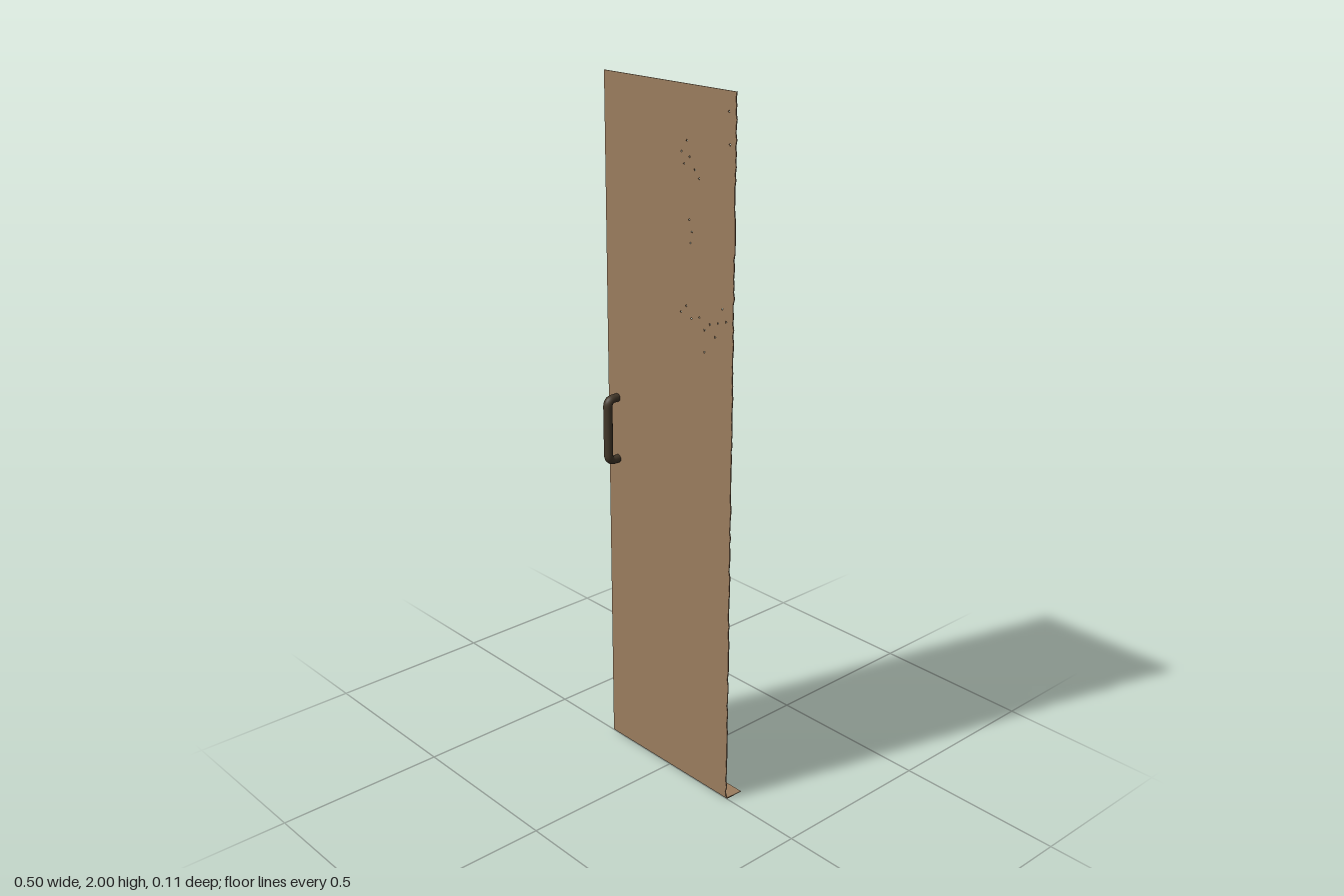
import * as THREE from 'three';

export function createModel() {
  const group = new THREE.Group();
  const wood = new THREE.MeshStandardMaterial({ color: 0x9c7e5f });
  wood.name = 'tan panel';
  wood.side = THREE.DoubleSide;
  const metal = new THREE.MeshStandardMaterial({ color: 0x43382a });
  metal.name = 'dark bronze';

  const add = (name, geometry, material) => {
    const mesh = new THREE.Mesh(geometry, material);
    mesh.name = name;
    group.add(mesh);
    return mesh;
  };

  let seed = 7;
  const random = () => (seed = (seed * 16807) % 2147483647) / 2147483647;

  // Thin door sheet with a worn right edge
  const outline = new THREE.Shape();
  outline.moveTo(-0.25, 0.01);
  outline.lineTo(0.246, 0.01);
  const steps = 120;
  for (let i = 1; i < steps; i++) {
    outline.lineTo(0.243 + random() * 0.005, 0.01 + (1.99 * i) / steps);
  }
  outline.lineTo(0.246, 2);
  outline.lineTo(-0.25, 2);
  outline.closePath();

  // Tiny worn pits through the upper right of the sheet
  const pits = [
    [0.05, 1.83], [0.07, 1.86], [0.08, 1.82], [0.1, 1.79], [0.115, 1.77], [0.06, 1.8],
    [0.08, 1.66], [0.09, 1.63], [0.085, 1.6], [0.05, 1.41], [0.07, 1.43], [0.09, 1.4],
    [0.12, 1.41], [0.14, 1.38], [0.16, 1.4], [0.18, 1.37], [0.19, 1.41], [0.205, 1.45],
    [0.22, 1.42], [0.14, 1.32], [0.22, 1.95], [0.225, 1.87]
  ];
  for (const [x, y] of pits) {
    const a = random() * 6;
    const pit = new THREE.Path();
    pit.setFromPoints([0, 1, 2].map(k => new THREE.Vector2(
      x + 0.004 * Math.cos(a + k * 2.09), y + 0.004 * Math.sin(a + k * 2.09))));
    outline.holes.push(pit);
  }
  const sheet = new THREE.ExtrudeGeometry(outline, { depth: 0.003, bevelEnabled: false });
  sheet.translate(0, 0, 0.003);
  add('doorPanel', sheet, wood);

  // Folded lip running back along the bottom; profile is (depth behind front, height)
  const profile = new THREE.Shape([
    [-0.006, 0.012], [-0.005, 0.006], [0.001, 0.001], [0.055, 0],
    [0.055, 0.002], [0.002, 0.004], [-0.003, 0.012]
  ].map(p => new THREE.Vector2(...p)));
  const lip = new THREE.ExtrudeGeometry(profile, { depth: 0.495, bevelEnabled: false });
  lip.rotateY(Math.PI / 2);
  lip.translate(-0.25, 0, 0);
  add('bottomLip', lip, wood);

  // Pull handle: one bent bar, fuller at the grip than at the feet
  const v = (y, z) => new THREE.Vector3(0, y, z);
  const top = 0.092, r = 0.02, out = 0.042;
  const path = new THREE.CurvePath();
  path.add(new THREE.LineCurve3(v(top, 0.004), v(top, out - r)));
  path.add(new THREE.QuadraticBezierCurve3(v(top, out - r), v(top, out), v(top - r, out)));
  path.add(new THREE.LineCurve3(v(top - r, out), v(r - top, out)));
  path.add(new THREE.QuadraticBezierCurve3(v(r - top, out), v(-top, out), v(-top, out - r)));
  path.add(new THREE.LineCurve3(v(-top, out - r), v(-top, 0.004)));
  const bar = new THREE.TubeGeometry(path, 64, 0.012, 16);
  const pos = bar.attributes.position;
  for (let i = 0; i < pos.count; i++) {
    const t = Math.min(1, Math.max(0, pos.getZ(i) / 0.035));
    pos.setX(i, pos.getX(i) * (0.9 + 0.3 * t));
  }
  bar.computeVertexNormals();
  add('handle', bar, metal).position.set(-0.212, 1.01, 0);

  // Fixing ends of the handle showing on the back
  for (const side of [-1, 1]) {
    const end = new THREE.CylinderGeometry(0.011, 0.011, 0.004, 16);
    end.rotateX(Math.PI / 2);
    add('handleFixing', end, metal).position.set(-0.212, 1.01 + side * top, 0.004);
  }
  return group;
}
